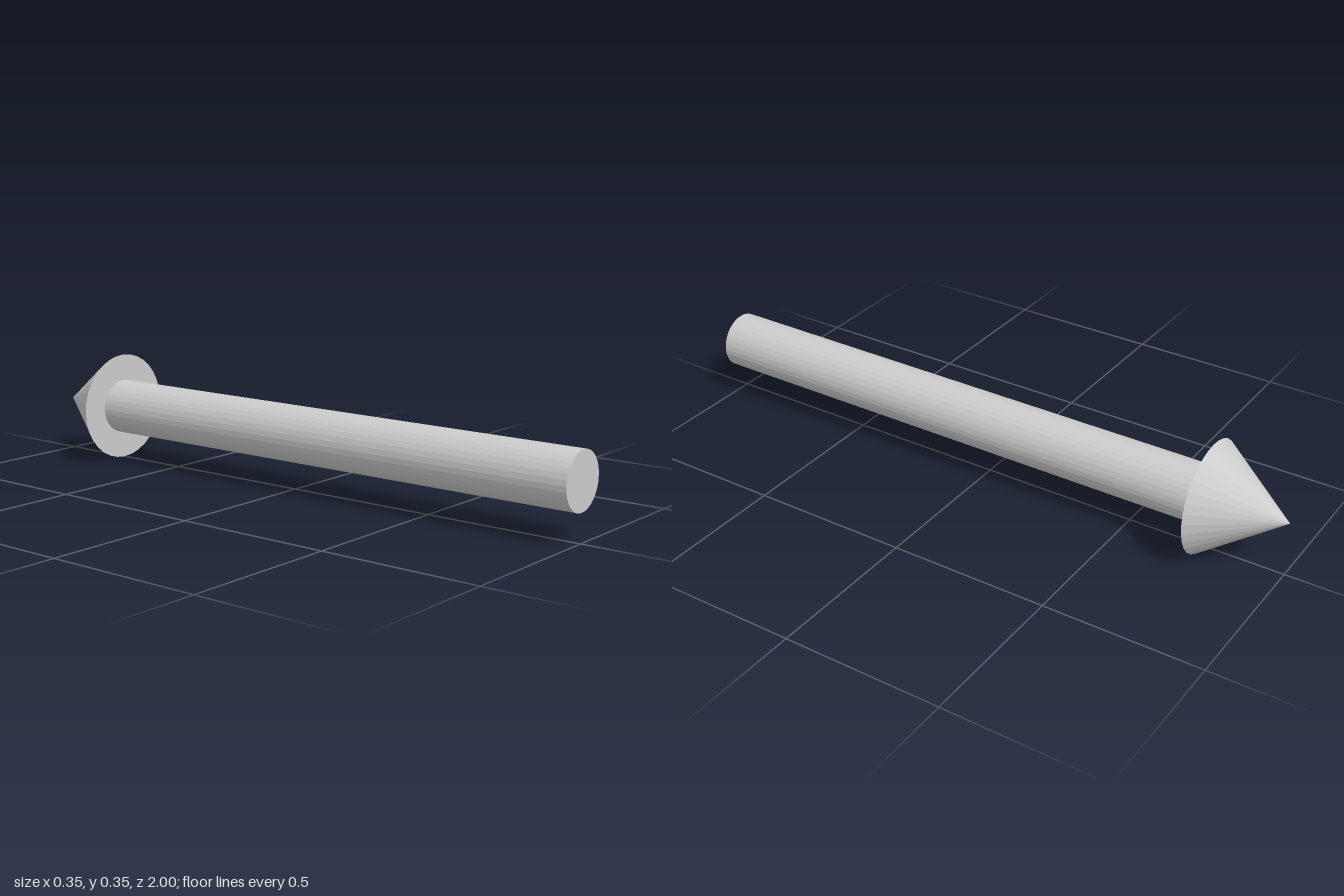
import * as THREE from 'three';

const SIDES = 32;
const HEAD_RADIUS = 0.175;
const SHAFT_RADIUS = 0.0885;
const HEAD_BASE_Z = -0.75;

export function createModel() {
  const group = new THREE.Group();
  group.name = 'arrow';
  const material = new THREE.MeshStandardMaterial({ color: 0xcccccc, flatShading: true });

  // Lays a part along the arrow's axis, from zStart back to zEnd
  const addPart = (name, rearRadius, frontRadius, zStart, zEnd) => {
    const geometry = new THREE.CylinderGeometry(rearRadius, frontRadius, zStart - zEnd, SIDES);
    geometry.rotateX(-Math.PI / 2);
    const mesh = new THREE.Mesh(geometry, material);
    mesh.name = name;
    mesh.position.set(0, HEAD_RADIUS, (zStart + zEnd) / 2);
    group.add(mesh);
  };

  // Long round shaft
  addPart('shaft', SHAFT_RADIUS, SHAFT_RADIUS, 1, HEAD_BASE_Z);
  // Pointed cone with a closed base
  addPart('arrowHead', 0, HEAD_RADIUS, HEAD_BASE_Z, -1);

  return group;
}
